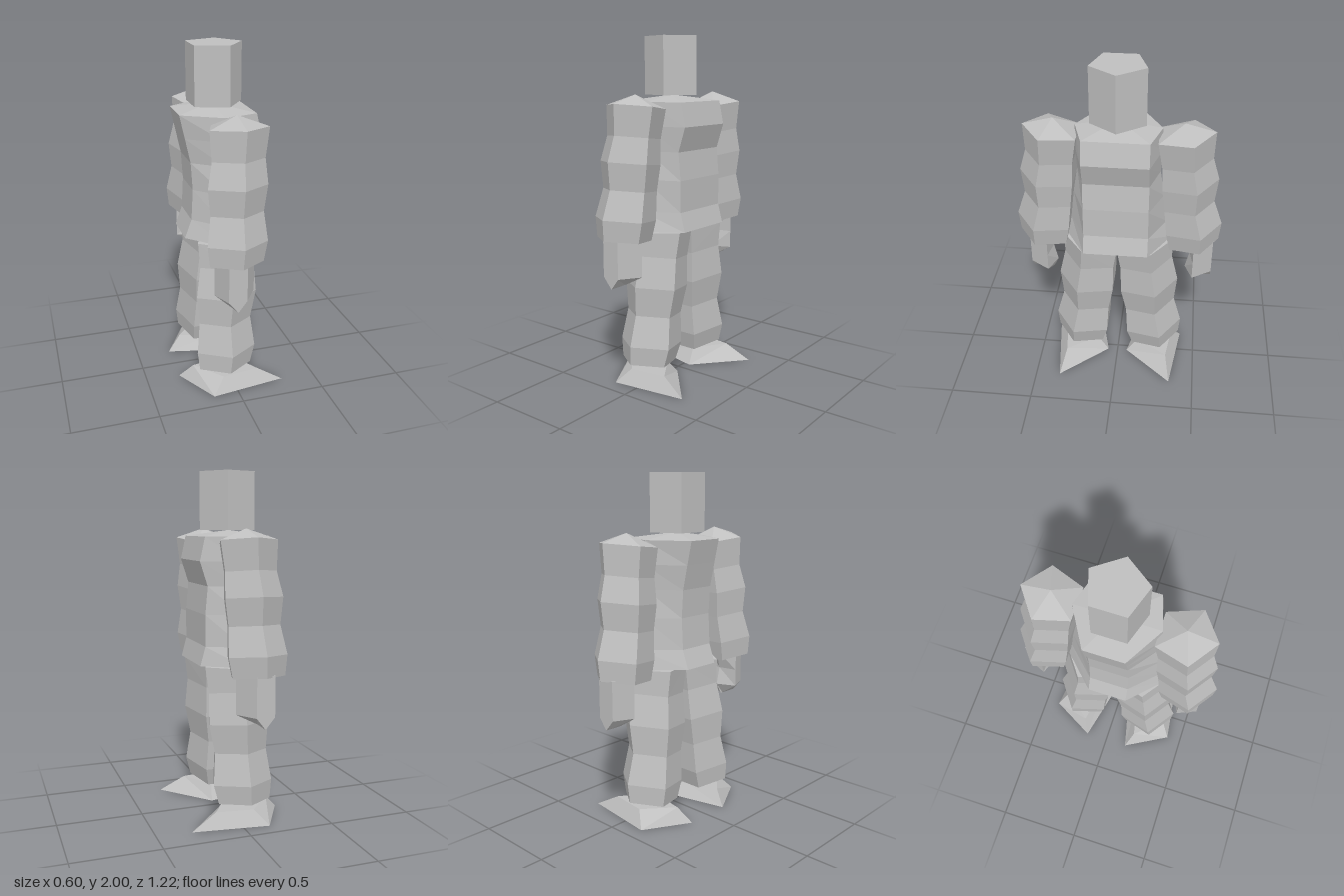
import * as THREE from 'three';

const grey = new THREE.MeshStandardMaterial({ color: 0xbfbfbf });
grey.name = 'grey';

// Faceted skin through rings listed top to bottom; each ring runs from +z towards +x.
// topRise lifts the centre of the top cap; side -1 mirrors the part to -z.
function loft(name, rings, { side = 1, topRise = 0, shiftZ = 0 } = {}) {
  const pos = [];
  const tri = (a, b, c) => {
    const area = b.clone().sub(a).cross(c.clone().sub(a)).length();
    if (area < 1e-7) return;
    for (const p of side > 0 ? [a, b, c] : [a, c, b]) pos.push(p.x, p.y, (p.z + shiftZ) * side);
  };
  const centre = (ring) => ring.reduce((s, p) => s.add(p), new THREE.Vector3()).divideScalar(ring.length);
  const n = rings[0].length;
  const top = rings[0], bottom = rings[rings.length - 1];
  const topMid = centre(top), bottomMid = centre(bottom);
  topMid.y += topRise;
  for (let i = 0; i < n; i++) {
    const j = (i + 1) % n;
    tri(topMid, top[i], top[j]);
    for (let k = 0; k < rings.length - 1; k++) {
      const a = rings[k], b = rings[k + 1];
      tri(a[i], b[i], b[j]);
      tri(a[i], b[j], a[j]);
    }
    tri(bottomMid, bottom[j], bottom[i]);
  }
  const geo = new THREE.BufferGeometry();
  geo.setAttribute('position', new THREE.Float32BufferAttribute(pos, 3));
  geo.computeVertexNormals();
  const mesh = new THREE.Mesh(geo, grey);
  mesh.name = name;
  return mesh;
}

// Five-sided ring with a corner pointing outwards, tilted to follow a splayed limb
function limbRing([y, cx, cz, r], tilt = 0.12) {
  return Array.from({ length: 5 }, (_, i) => {
    const a = (i * Math.PI * 2) / 5;
    const dz = r * Math.cos(a);
    return new THREE.Vector3(cx + r * Math.sin(a), y + dz * tilt, cz + dz);
  });
}

// Ring at one height from [x, z] corners
const flatRing = (y, pts) => pts.map(([x, z]) => new THREE.Vector3(x, y, z));

export function createModel() {
  const model = new THREE.Group();
  model.name = 'blockyFigure';

  // Head: five-sided prism with a corner to +x
  const head = new THREE.Mesh(new THREE.CylinderGeometry(0.165, 0.165, 0.33, 5).toNonIndexed(), grey);
  head.geometry.computeVertexNormals();
  head.geometry.rotateY(Math.PI / 2);
  head.position.set(-0.035, 1.835, 0);
  head.name = 'head';
  model.add(head);

  // Torso: six-sided stack of [y, front x, back x, half width]
  const torso = [
    [1.635, 0.16, -0.26, 0.245],
    [1.5, 0.19, -0.23, 0.25],
    [1.36, 0.145, -0.2, 0.24],
    [1.2, 0.16, -0.19, 0.265],
    [1.02, 0.16, -0.2, 0.285],
    [0.91, 0.19, -0.24, 0.32],
  ].map(([y, f, b, w]) => flatRing(y, [
    [-0.035, w], [f, 0.187], [f, -0.187], [-0.035, -w], [b, -0.115], [b, 0.115],
  ]));
  model.add(loft('torso', torso, { topRise: 0.035 }));

  // Limb sections: [y, centre x, centre z, radius]
  const arm = [
    [1.615, -0.013, 0.365, 0.172],
    [1.45, -0.02, 0.377, 0.155],
    [1.31, -0.03, 0.398, 0.175],
    [1.16, -0.033, 0.4, 0.157],
    [1.0, -0.04, 0.433, 0.178],
    [0.885, -0.045, 0.44, 0.16],
  ].map((s) => limbRing(s));
  const leg = [
    [0.905, -0.01, 0.145, 0.185, 0],
    [0.75, -0.015, 0.16, 0.17],
    [0.57, -0.025, 0.18, 0.19],
    [0.4, -0.035, 0.19, 0.165],
    [0.22, -0.037, 0.217, 0.187],
    [0.11, -0.045, 0.23, 0.165],
  ].map((s) => limbRing(s, s[4]));

  // Hand: five-sided fist narrowing to a ridge underneath
  const handRing = (y, inner) => flatRing(y, [
    [-0.105, 0.54], [0, 0.54], [0.075, 0.425], [-0.04, inner], [-0.155, 0.425],
  ]);
  const hand = [
    handRing(0.91, 0.37), handRing(0.79, 0.405), handRing(0.685, 0.38),
    flatRing(0.62, [[-0.05, 0.54], [-0.05, 0.54], [-0.05, 0.425], [-0.05, 0.41], [-0.05, 0.425]]),
  ];

  // Foot: flat wedge with a long toe
  const foot = [
    flatRing(0.085, [[-0.075, 0.35], [0.145, 0.32], [0.02, 0.13], [-0.22, 0.18]]),
    flatRing(0, [[-0.15, 0.41], [0.295, 0.35], [0.04, 0.06], [-0.3, 0.14]]),
  ];

  for (const side of [1, -1]) {
    const label = side > 0 ? 'Near' : 'Far';
    model.add(
      loft('arm' + label, arm, { side, topRise: 0.065 }),
      loft('hand' + label, hand, { side, shiftZ: side > 0 ? 0 : 0.03 }),
      loft('leg' + label, leg, { side }),
      loft('foot' + label, foot, { side }),
    );
  }
  return model;
}
